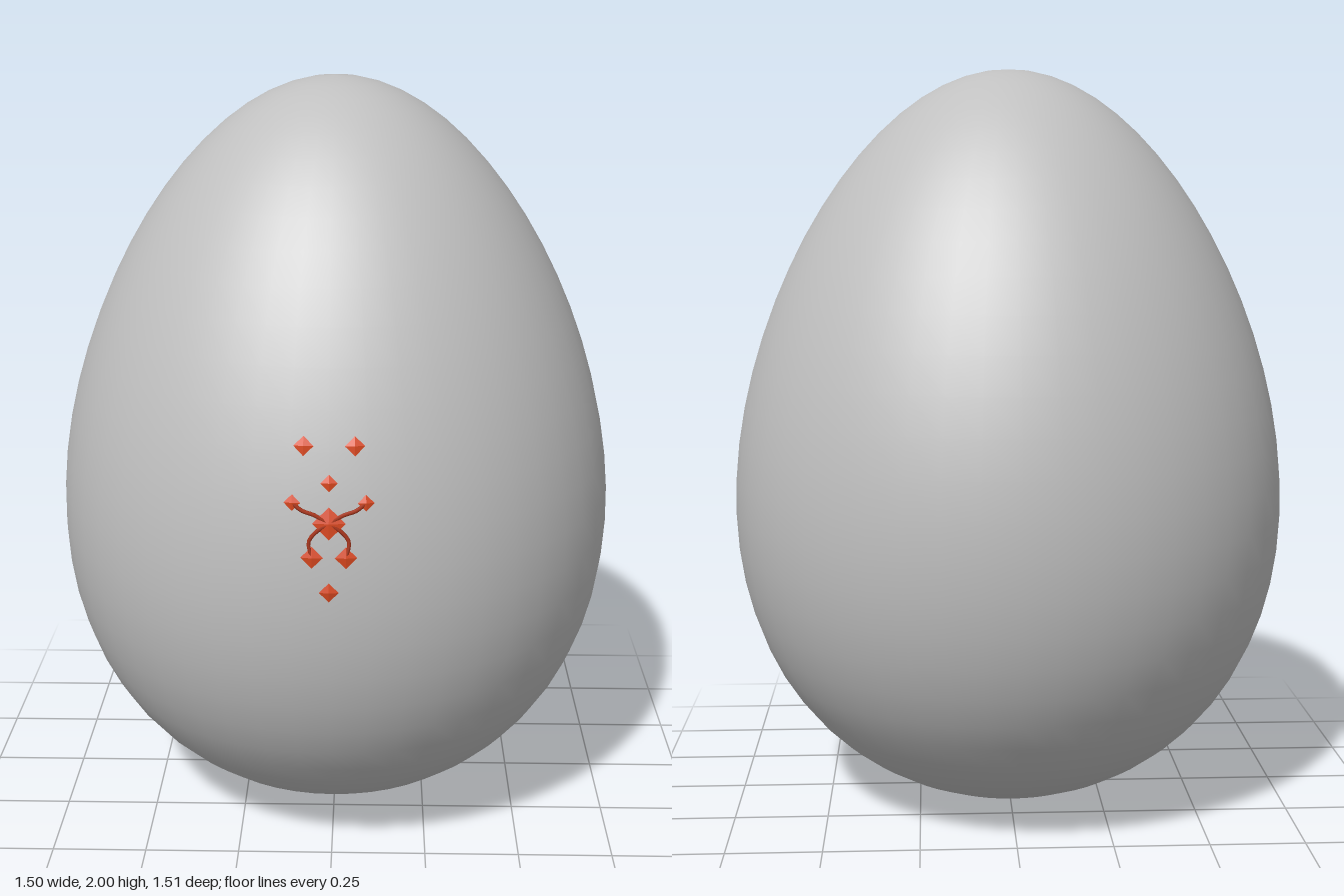
import * as THREE from 'three';

const shellMat = new THREE.MeshStandardMaterial({ name: 'shell grey', color: 0xc0c0c0 });
const markMat = new THREE.MeshStandardMaterial({ name: 'mark orange', color: 0xd9481f });
const lineMat = new THREE.MeshStandardMaterial({ name: 'line rust', color: 0xa8351a });
const Z0 = -0.005; // the shell sits slightly back to balance the raised marks

// Egg radius as a function of the polar angle, fuller towards the base
const eggRadius = (a) => 0.739 * Math.sin(a) * (1 - 0.18 * Math.cos(a));

// Point on the front of the shell
function onShell(x, y, lift = 0.003) {
  const r = eggRadius(Math.acos(y - 1));
  return new THREE.Vector3(x, y, Math.sqrt(r * r - x * x) + Z0 + lift);
}

// Outward direction of the shell at a front point
function shellNormal(x, y) {
  const e = 0.01;
  const dx = onShell(x + e, y).sub(onShell(x - e, y));
  const dy = onShell(x, y + e).sub(onShell(x, y - e));
  return dx.cross(dy).normalize();
}

export function createModel() {
  const group = new THREE.Group();
  group.name = 'egg';

  // Shell
  const profile = [];
  for (let i = 0; i <= 32; i++) {
    const a = Math.PI * (1 - i / 32);
    profile.push(new THREE.Vector2(Math.max(0, eggRadius(a)), 1 + Math.cos(a)));
  }
  const shell = new THREE.Mesh(new THREE.LatheGeometry(profile, 48), shellMat);
  shell.name = 'shell';
  shell.position.z = Z0;
  group.add(shell);

  // Diamond studs lying on the shell: x, y, half size
  const emblem = new THREE.Group();
  emblem.name = 'frontMark';
  const addDiamond = (name, x, y, size) => {
    const geo = new THREE.OctahedronGeometry(1).scale(size, size, 0.005);
    const mesh = new THREE.Mesh(geo, markMat);
    mesh.name = name;
    mesh.position.copy(onShell(x, y));
    mesh.lookAt(mesh.position.clone().add(shellNormal(x, y)));
    emblem.add(mesh);
  };
  addDiamond('centreDiamond', 0, 1.03, 0.04);
  addDiamond('upperDiamond', 0, 1.125, 0.021);
  addDiamond('lowerDiamond', 0, 0.86, 0.024);

  // Curved line following the shell
  const addLine = (name, points) => {
    const curve = new THREE.CatmullRomCurve3(points.map(([x, y]) => onShell(x, y, 0.002)));
    const mesh = new THREE.Mesh(new THREE.TubeGeometry(curve, 10, 0.005, 6), lineMat);
    mesh.name = name;
    emblem.add(mesh);
  };

  // Mirrored diamonds and limbs
  for (const [side, s] of [['left', 1], ['right', -1]]) {
    addDiamond(side + 'TopDiamond', s * 0.061, 1.21, 0.024);
    addDiamond(side + 'ArmDiamond', s * 0.088, 1.078, 0.02);
    addDiamond(side + 'FootDiamond', s * 0.041, 0.947, 0.027);
    addLine(side + 'Arm', [[0, 1.03], [s * 0.035, 1.05], [s * 0.065, 1.06], [s * 0.088, 1.078]]);
    addLine(side + 'Leg', [[0, 1.03], [s * 0.03, 1.01], [s * 0.048, 0.985], [s * 0.041, 0.947]]);
  }
  group.add(emblem);
  return group;
}
